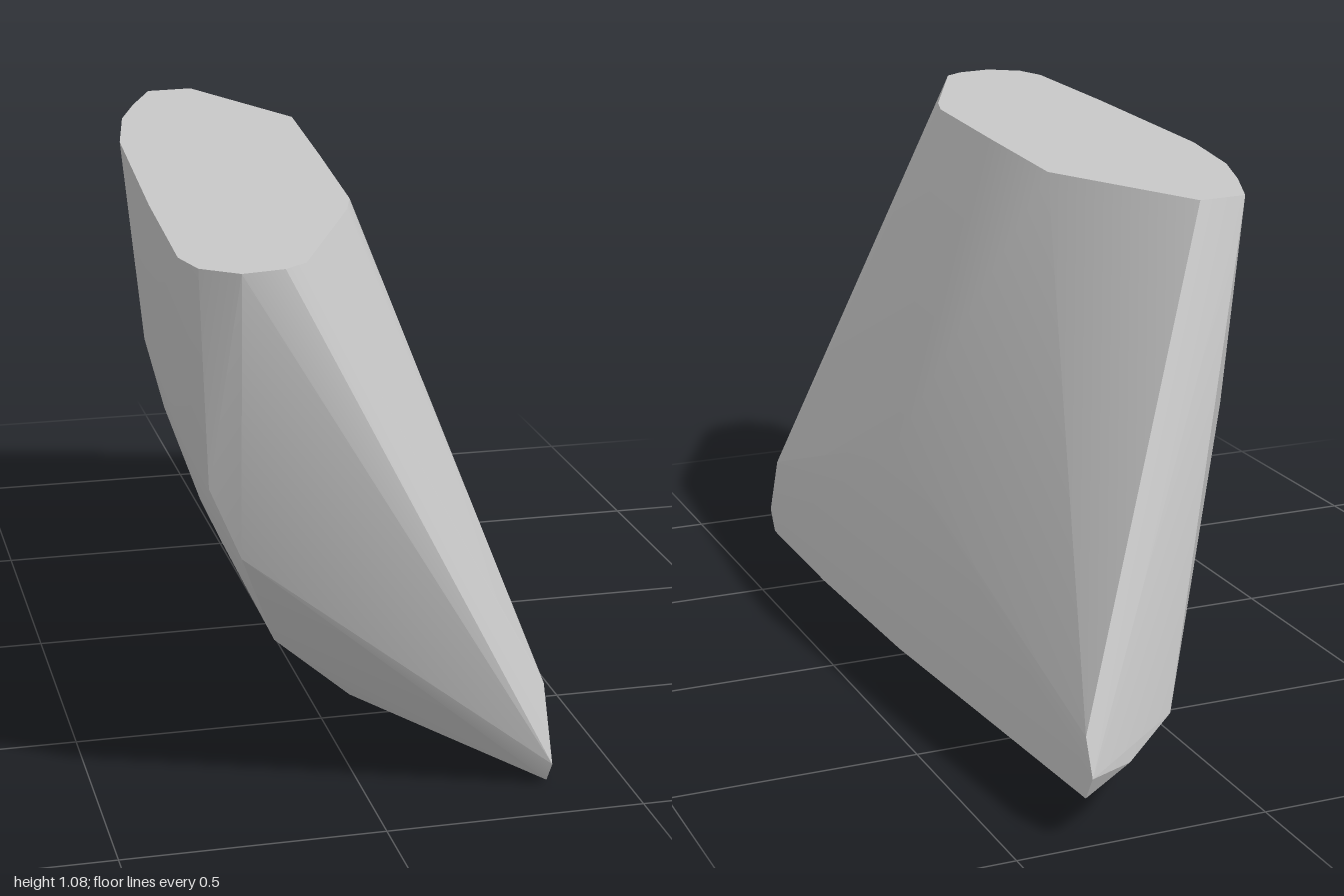
import * as THREE from 'three';
import { ConvexGeometry } from 'three/addons/geometries/ConvexGeometry.js';
import { toCreasedNormals } from 'three/addons/utils/BufferGeometryUtils.js';

const TOP = 1.077;
const SIDE = 0.352;

export function createModel() {
  const group = new THREE.Group();
  group.name = 'block';
  const grey = new THREE.MeshStandardMaterial({ color: 0xc8c8c8 });
  grey.name = 'grey';
  const points = [];
  const add = (x, y, z) => points.push(new THREE.Vector3(x, y, z));

  // Flat top outline (x, z)
  [[-0.14, -0.605], [-0.04, -0.615], [0.113, -0.25], [0.08, 0.135], [0.045, 0.51],
    [0.02, 0.59], [-0.145, 0.95], [-0.19, 0.985], [-0.27, 1], [-0.335, 0.95],
    [-0.355, 0.87], [-0.335, 0.48], [-0.295, -0.08], [-0.25, -0.315], [-0.2, -0.46],
  ].forEach(([x, z]) => add(x, TOP, z));

  // Flat upright side face (z, y)
  [[0.87, 0.003], [0.9, 0.05], [0.835, 0.19], [0, 0.47], [-0.97, 0.2],
    [-1, 0.13], [-0.97, 0.08], [0, 0.015], [0.5, 0],
  ].forEach(([z, y]) => add(SIDE, y, z));

  // Front end of the curved underside
  [[0.2, 0.045, 0.74], [0, 0.15, 0.72], [-0.16, 0.3, 0.77],
    [-0.25, 0.52, 0.9], [-0.31, 0.66, 0.905],
  ].forEach((p) => add(...p));

  // Curved underside, narrowing and rising towards the back
  const profile = [[0.2, 0.045], [0.1, 0.09], [0, 0.15], [-0.09, 0.225], [-0.16, 0.3],
    [-0.215, 0.385], [-0.26, 0.48], [-0.305, 0.64]];
  [[0.48, 0.97, 0.004], [-0.08, 0.915, 0.018], [-0.315, 0.85, 0.032],
    [-0.46, 0.785, 0.045], [-0.58, 0.7, 0.055],
  ].forEach(([z, width, lift]) => profile.forEach(([x, y]) =>
    add(SIDE + (x - SIDE) * width, lift + y * (1 - lift / TOP), z)));

  // Rear tip of the underside
  add(0.135, 0.17, -0.87);
  add(0.25, 0.12, -0.94);

  const body = new THREE.Mesh(toCreasedNormals(new ConvexGeometry(points), 0.5), grey);
  body.name = 'body';
  group.add(body);
  return group;
}
